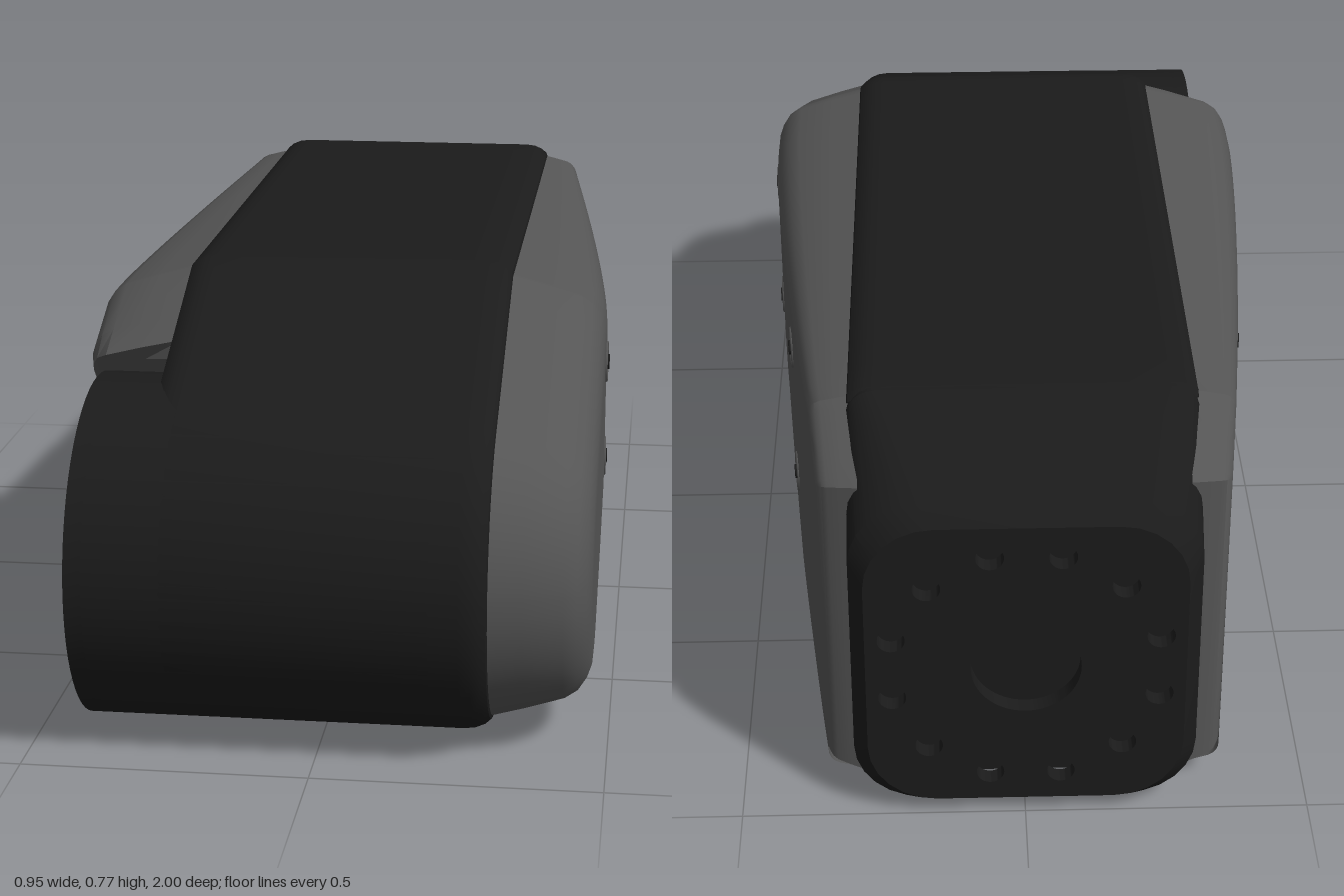
import * as THREE from 'three';
import { toCreasedNormals } from 'three/addons/utils/BufferGeometryUtils.js';

const black = new THREE.MeshStandardMaterial({ color: 0x1b1b1b });
const grey = new THREE.MeshStandardMaterial({ color: 0x555555 });
const JZ = 0.695, JY = 0.308, JR = 0.305; // joint axis and radius

// Paired upper and lower outline points [z, y], running from back to front
function chains(backZ, backTop) {
  const arc = (deg) => {
    const a = THREE.MathUtils.degToRad(deg);
    return [JZ + JR * Math.cos(a), JY + JR * Math.sin(a)];
  };
  const top = [[backZ, backTop], [-0.8, 0.77], [-0.36, 0.77], [-0.04, 0.77], [0.26, 0.77], [0.41, 0.77], arc(66)];
  const bottom = [[backZ, 0.015], [-0.78, 0.015], [-0.36, 0.015], [-0.04, 0.18], [0.26, 0.18], [0.38, 0.115], arc(-117)];
  const divide = (pts) => {
    const out = [];
    for (let i = 0; i < pts.length - 1; i++) {
      for (let s = 0; s < 6; s++) {
        const t = s / 6, [p, q] = [pts[i], pts[i + 1]];
        out.push([p[0] + (q[0] - p[0]) * t, p[1] + (q[1] - p[1]) * t]);
      }
    }
    return out;
  };
  const T = divide(top), B = divide(bottom);
  for (let i = 0; i <= 22; i++) {
    const t = i / 22;
    T.push(arc(66 + (3 - 66) * t));
    B.push(arc(-117 + (117 - 3) * t));
  }
  return { n: T.length, ring: [...T, ...B.reverse()] };
}

function meshFrom(positions, index, name, material, crease = 0.5) {
  const g = new THREE.BufferGeometry();
  g.setAttribute('position', new THREE.Float32BufferAttribute(positions, 3));
  g.setIndex(index);
  return named(new THREE.Mesh(toCreasedNormals(g, crease), material), name);
}

function named(object, name) {
  object.name = name;
  return object;
}

// How far the cover stands out at a given depth
const coverX = (z) => 0.47 - 0.12 * Math.pow(THREE.MathUtils.clamp((0.3 - z) / 1.2, 0, 1.1), 1.3);

// Tapered side cover; with notch it is cut back around the joint
function cover(side, notch, name) {
  const { n, ring } = chains(-0.94, 0.655);
  const count = ring.length;
  const normals = ring.map((p, i) => {
    const a = ring[(i + count - 1) % count], b = ring[(i + 1) % count];
    const u = new THREE.Vector2(a[1] - p[1], p[0] - a[0]).normalize();
    const v = new THREE.Vector2(p[1] - b[1], b[0] - p[0]).normalize();
    const m = u.clone().add(v).normalize();
    return m.divideScalar(Math.max(m.dot(u), 0.5));
  });
  const cut = (z, y) => {
    const k = 0.33 ** 2 - (y - JY) ** 2;
    return notch && k > 0 ? Math.min(z, JZ - Math.sqrt(k)) : z;
  };
  const pos = [], idx = [];
  const quad = (a, b, c, d) => (side > 0 ? idx.push(a, b, c, a, c, d) : idx.push(a, c, b, a, d, c));

  // rounded wall: [height fraction, inset]
  const profile = [[0, 0], [0.4, 0.02], [0.75, 0.04], [0.87, 0.055], [0.95, 0.078], [0.99, 0.1], [1, 0.125]];
  let last;
  profile.forEach(([t, d], k) => {
    last = ring.map((p, i) => {
      const f = Math.max((coverX(p[0]) - 0.3) / 0.17, 0.35);
      const inset = 0.02 + d * f;
      return [p[0] - normals[i].x * inset, p[1] - normals[i].y * inset];
    });
    last.forEach(([z, y], i) => {
      const zc = cut(z, y);
      pos.push(side * (0.28 + (coverX(zc) - 0.28) * t), y, zc);
      const j = (i + 1) % count;
      if (k) quad((k - 1) * count + i, (k - 1) * count + j, k * count + j, k * count + i);
    });
  });

  // outer face, spanning between the upper and lower edges
  const start = pos.length / 3, M = 12;
  for (let i = 0; i < n; i++) {
    const p = last[i], q = last[count - 1 - i];
    for (let j = 0; j <= M; j++) {
      const y = p[1] + (q[1] - p[1]) * j / M;
      const z = cut(p[0] + (q[0] - p[0]) * j / M, y);
      pos.push(side * coverX(z), y, z);
      const a = start + (i - 1) * (M + 1) + j, b = a + M + 1;
      if (i && j < M) quad(a, b, b + 1, a + 1);
    }
  }
  return meshFrom(pos, idx, name, grey);
}

// Rounded rectangle outline as points
function roundedRect(hw, y0, y1, r) {
  const pts = [], cy = (y0 + y1) / 2, hh = (y1 - y0) / 2;
  [[1, 1], [-1, 1], [-1, -1], [1, -1]].forEach(([sx, sy], c) => {
    for (let i = 0; i <= 6; i++) {
      const a = (c + i / 6) * Math.PI / 2;
      pts.push(new THREE.Vector2(sx * (hw - r) + r * Math.cos(a), cy + sy * (hh - r) + r * Math.sin(a)));
    }
  });
  return pts;
}

// Plate with a central bore and a ring of twelve bolt holes
function boltPlate(shape, cx, cy, ringR, name) {
  const hole = (x, y, r) => shape.holes.push(new THREE.Path().absarc(x, y, r, 0, Math.PI * 2, true));
  hole(cx, cy, 0.095);
  for (let i = 0; i < 12; i++) {
    const a = (i + 0.5) * Math.PI / 6;
    hole(cx + ringR * Math.cos(a), cy + ringR * Math.sin(a), 0.024);
  }
  const g = new THREE.ExtrudeGeometry(shape, { depth: 0.03, bevelEnabled: false, curveSegments: 32 });
  return named(new THREE.Mesh(toCreasedNormals(g, 0.5), black), name);
}

export function createModel() {
  const model = new THREE.Group();

  // main body
  const outline = chains(-0.82, 0.755).ring.map(([z, y]) => new THREE.Vector2(z, y));
  const bodyGeo = new THREE.ExtrudeGeometry(new THREE.Shape(outline), {
    depth: 0.5, bevelThickness: 0.05, bevelSize: 0.03, bevelOffset: -0.03, bevelSegments: 4,
  });
  bodyGeo.translate(0, 0, -0.25).rotateY(-Math.PI / 2);
  model.add(named(new THREE.Mesh(toCreasedNormals(bodyGeo, 0.5), black), 'body'));

  // rear end, tapering to a rounded square
  const sections = [[-0.79, 0.3, 0.015, 0.77, 0.05], [-0.81, 0.3, 0.015, 0.768, 0.05], [-0.85, 0.3, 0.015, 0.738, 0.07],
    [-0.97, 0.3, 0.015, 0.645, 0.12], [-1, 0.275, 0.035, 0.615, 0.12]];
  const pos = [], idx = [];
  sections.forEach(([z, ...rect], k) => {
    const pts = roundedRect(...rect), c = pts.length;
    pts.forEach((p, i) => {
      pos.push(p.x, p.y, z);
      const a = (k - 1) * c + i, b = (k - 1) * c + (i + 1) % c;
      if (k) idx.push(a, b + c, b, a, a + c, b + c);
    });
  });
  model.add(meshFrom(pos, idx, 'rearHousing', black));
  const rearPlate = boltPlate(new THREE.Shape(roundedRect(0.275, 0.035, 0.615, 0.12)), 0, 0.325, 0.238, 'rearFlange');
  rearPlate.position.z = -1;
  const rearFloor = named(new THREE.Mesh(new THREE.BoxGeometry(0.5, 0.5, 0.02), black), 'rearFlangeFloor');
  rearFloor.position.set(0, 0.325, -0.96);
  model.add(rearPlate, rearFloor);

  // front joint drum with its bolted face
  const drum = named(new THREE.Mesh(new THREE.CylinderGeometry(JR, JR, 0.585, 64), black), 'jointDrum');
  drum.rotation.z = Math.PI / 2;
  drum.position.set(-0.0925, JY, JZ);
  const face = boltPlate(new THREE.Shape().absarc(0, 0, JR, 0, Math.PI * 2), 0, 0, 0.25, 'jointFlange');
  face.rotation.y = -Math.PI / 2;
  face.position.set(-0.385, JY, JZ);
  model.add(drum, face);

  // side covers
  model.add(cover(1, false, 'leftCover'), cover(-1, true, 'rightCover'));

  // cover screws
  for (const side of [1, -1]) {
    for (const [z, y] of [[0.33, 0.57], [0.23, 0.355], [-0.34, 0.57], [-0.34, 0.29]]) {
      const screw = named(new THREE.Group(), 'coverScrew');
      const rim = new THREE.Mesh(new THREE.TorusGeometry(0.035, 0.004, 6, 28), grey);
      const head = new THREE.Mesh(new THREE.CylinderGeometry(0.014, 0.014, 0.012, 16), black);
      head.rotation.x = Math.PI / 2;
      screw.add(named(rim, 'screwRim'), named(head, 'screwSocket'));
      screw.rotation.y = side * (Math.PI / 2 + Math.atan((coverX(z + 0.01) - coverX(z - 0.01)) / 0.02));
      screw.position.set(side * coverX(z), y, z);
      model.add(screw);
    }
  }
  return model;
}
